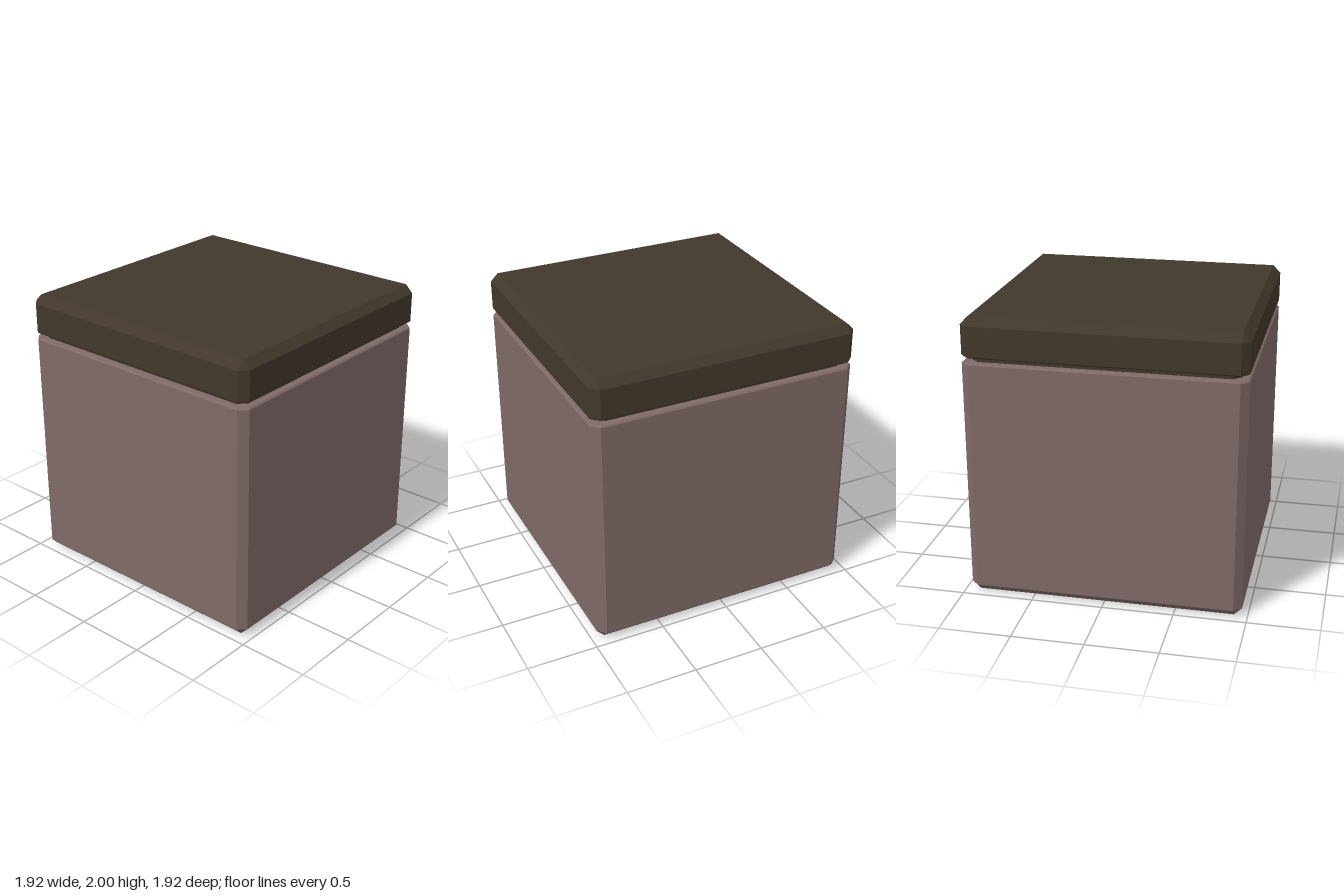
import * as THREE from 'three';

// Octagonal ring: half = half width, flat = half length of the straight sides.
function ring([y, half, flat]) {
  const h = half, f = flat;
  return [[f, h], [h, f], [h, -f], [f, -h], [-f, -h], [-h, -f], [-h, f], [-f, h]]
    .map(([x, z]) => new THREE.Vector3(x, y, z));
}

// Closed solid lofted through chamfered square sections, listed bottom to top.
function chamferedBlock(sections) {
  const rings = sections.map(ring);
  const positions = [];
  const triangle = (a, b, c) => {
    const area = b.clone().sub(a).cross(c.clone().sub(a)).length();
    if (area > 1e-7) for (const p of [a, b, c]) positions.push(p.x, p.y, p.z);
  };
  for (let i = 0; i < rings.length - 1; i++) {
    const low = rings[i], high = rings[i + 1];
    for (let j = 0; j < 8; j++) {
      const k = (j + 1) % 8;
      triangle(low[j], low[k], high[k]);
      triangle(low[j], high[k], high[j]);
    }
  }
  const bottom = rings[0], top = rings[rings.length - 1];
  for (let j = 1; j < 7; j++) {
    triangle(bottom[0], bottom[j + 1], bottom[j]);
    triangle(top[0], top[j], top[j + 1]);
  }
  const geometry = new THREE.BufferGeometry();
  geometry.setAttribute('position', new THREE.Float32BufferAttribute(positions, 3));
  geometry.computeVertexNormals();
  return geometry;
}

export function createModel() {
  const model = new THREE.Group();
  model.name = 'liddedBox';
  const bodyMaterial = new THREE.MeshStandardMaterial({ color: 0x7f6a68, flatShading: true });
  const lidMaterial = new THREE.MeshStandardMaterial({ color: 0x41382b, flatShading: true });

  const add = (name, material, sections) => {
    const mesh = new THREE.Mesh(chamferedBlock(sections), material);
    mesh.name = name;
    model.add(mesh);
  };

  // Box body: wide chamfer at the base, fine bevel at the rim
  add('body', bodyMaterial, [
    [0, 0.905, 0.905], [0.055, 0.96, 0.905], [1.68, 0.96, 0.905], [1.69, 0.95, 0.9],
  ]);
  // Recessed neck between body and lid
  add('neck', lidMaterial, [[1.67, 0.905, 0.85], [1.74, 0.905, 0.85]]);
  // Lid: fine bevel below, wide chamfer on top
  add('lid', lidMaterial, [
    [1.725, 0.95, 0.9], [1.735, 0.96, 0.905], [1.945, 0.96, 0.905], [2, 0.905, 0.905],
  ]);
  return model;
}
